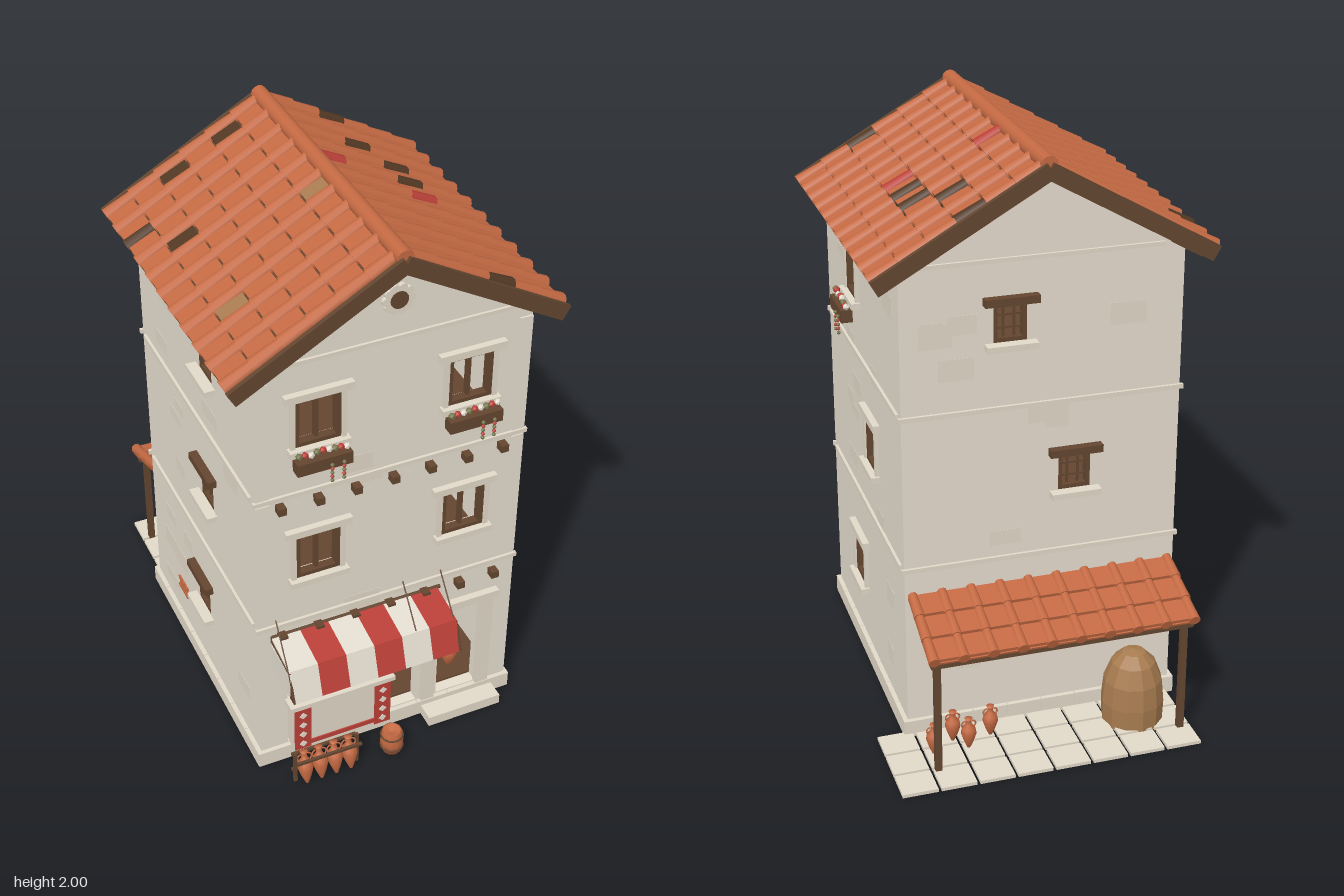
import * as THREE from 'three';

const mat = (name, color, side = THREE.FrontSide) => {
  const m = new THREE.MeshStandardMaterial({ color, side });
  m.name = name;
  return m;
};
const M = {
  plaster: mat('plaster', 0xe6ddce), stone: mat('stone', 0xe1d8c8), wood: mat('wood', 0x644630),
  clay: mat('terracotta', 0xc56a43, THREE.DoubleSide), dark: mat('dark tile', 0x523824, THREE.DoubleSide),
  red: mat('red', 0xbb4038, THREE.DoubleSide), straw: mat('straw', 0xa87c50, THREE.DoubleSide),
  cloth: mat('cloth', 0xe4ddd0), earth: mat('earth', 0x4e392a), leaf: mat('leaf', 0x76794f),
};

function add(parent, name, geo, m, x = 0, y = 0, z = 0, rx = 0, ry = 0, rz = 0) {
  const mesh = new THREE.Mesh(geo, m);
  mesh.name = name;
  mesh.position.set(x, y, z);
  mesh.rotation.set(rx, ry, rz);
  parent.add(mesh);
  return mesh;
}
const box = (p, name, m, w, h, d, x, y, z, rx = 0, ry = 0, rz = 0) =>
  add(p, name, new THREE.BoxGeometry(w, h, d), m, x, y, z, rx, ry, rz);
function group(p, name, x = 0, y = 0, z = 0, ry = 0) {
  const g = new THREE.Group();
  g.name = name;
  g.position.set(x, y, z);
  g.rotation.y = ry;
  p.add(g);
  return g;
}
// Thin bar between two points
function bar(p, name, m, a, b, r) {
  const A = new THREE.Vector3(...a), d = new THREE.Vector3(...b).sub(A);
  const mesh = add(p, name, new THREE.CylinderGeometry(r, r, d.length(), 6), m);
  mesh.position.copy(A).addScaledVector(d, 0.5);
  mesh.quaternion.setFromUnitVectors(new THREE.Vector3(0, 1, 0), d.normalize());
}
let seed = 7;
const rnd = () => (seed = (seed * 16807) % 2147483647) / 2147483647;

// Pottery from one profile, with optional handles
const jarProfile = [[0, 0], [.05, .02], [.15, .25], [.23, .5], [.2, .68], [.09, .8], [.08, .93], [.12, 1], [0, 1]]
  .map(([x, y]) => new THREE.Vector2(x, y));
function jar(p, name, h, x, y, z, fat = 1, handles = false, m = M.clay, tilt = 0) {
  const g = group(p, name, x, y, z);
  g.rotation.x = tilt;
  g.scale.set(h * fat, h, h * fat);
  add(g, 'body', new THREE.LatheGeometry(jarProfile, 10), m);
  if (handles) for (const s of [-1, 1])
    add(g, 'handle', new THREE.TorusGeometry(.11, .025, 5, 8, Math.PI), m, s * .1, .8, 0, 0, 0, -s * Math.PI / 2);
}

// Tiled slope: x runs down the slope (mirrored by s), z across; odd recolours single tiles
function tiles(p, s, len, rows, z0, pitch, ribs, r, odd = {}) {
  const step = len / rows, side = s > 0 ? 'R' : 'L';
  for (let i = 0; i < ribs; i++) for (let j = 0; j < rows; j++) {
    const x = s * (j + .5) * step, z = z0 + i * pitch;
    add(p, 'coverTile', new THREE.CylinderGeometry(r * .82, r * 1.05, step * 1.02, 10), odd[`${side}r${i}${j}`] || M.clay,
      x, .012, z, 0, 0, s * Math.PI / 2);
    if (i < ribs - 1) box(p, 'panTile', odd[`${side}p${i}${j}`] || M.clay, step * .94, .012, pitch * .9,
      x, .013, z + pitch / 2, 0, 0, s * .08);
  }
}

// Wall with rectangular holes [u, y, w, h]; local z = 0 is the outer face
function wall(face, w, top, apex, holes) {
  const s = new THREE.Shape();
  s.moveTo(-w / 2, .03); s.lineTo(w / 2, .03); s.lineTo(w / 2, top);
  if (apex) s.lineTo(0, apex);
  s.lineTo(-w / 2, top); s.closePath();
  for (const [u, y, hw, hh] of holes) {
    const a = hw / 2, b = hh / 2, q = new THREE.Path();
    q.moveTo(u - a, y - b); q.lineTo(u - a, y + b); q.lineTo(u + a, y + b); q.lineTo(u + a, y - b); q.closePath();
    s.holes.push(q);
  }
  add(face, 'wall', new THREE.ExtrudeGeometry(s, { depth: .04, bevelEnabled: false }), M.plaster, 0, 0, -.04);
  // faint plaster patches clear of the openings
  for (let n = 0; n < 16; n++) {
    const pw = .07 + rnd() * .06, ph = .04 + rnd() * .04, u = (rnd() - .5) * (w - .2), y = .14 + rnd() * 1.44;
    if (holes.some(([hu, hy, hw, hh]) => Math.abs(u - hu) < (hw + pw) / 2 + .05 && Math.abs(y - hy) < (hh + ph) / 2 + .06)) continue;
    box(face, 'plasterPatch', M.stone, pw, ph, .002, u, y, 0);
  }
  for (const y of [.63, 1.17]) box(face, 'stringCourse', M.stone, w + .02, .016, .012, 0, y, .004);
}
function stoneWindow(face, [u, y, w, h], flowers) {
  const g = group(face, 'window', u, y, 0);
  for (const s of [-1, 1]) {
    box(g, 'jamb', M.stone, .016, h, .016, s * (w / 2 + .008), 0, .006);
    box(g, 'frameSide', M.wood, .016, h, .03, s * (w / 2 - .008), 0, -.008);
    box(g, 'frameRail', M.wood, w, .014, .03, 0, s * (h / 2 - .007), -.008);
  }
  box(g, 'mullion', M.wood, .012, h, .02, 0, 0, -.015);
  box(g, 'lintel', M.stone, w + .075, .026, .026, 0, h / 2 + .013, .01);
  box(g, 'sill', M.stone, w + .05, .022, .034, 0, -h / 2 - .011, .014);
  if (!flowers) return;
  box(g, 'flowerBox', M.wood, w + .03, .044, .04, 0, -h / 2 - .046, .045);
  for (let i = 0; i < 9; i++) {
    const x = (i - 4) * .02;
    add(g, 'plant', new THREE.IcosahedronGeometry(.012, 0), [M.leaf, M.red, M.cloth][i % 3], x, -h / 2 - .018 + rnd() * .016, .045);
    if (i === 5 || i === 7) for (let k = 0; k < 5; k++)
      add(g, 'vine', new THREE.IcosahedronGeometry(.007, 0), k % 2 ? M.red : M.leaf, x, -h / 2 - .05 - k * .015, .07);
  }
}
function latticeWindow(face, [u, y, w, h]) {
  const g = group(face, 'latticeWindow', u, y, 0);
  for (const s of [-1, 1]) {
    box(g, 'frameSide', M.wood, .014, h, .03, s * (w / 2 - .007), 0, -.017);
    box(g, 'frameRail', M.wood, w, .014, .03, 0, s * (h / 2 - .007), -.017);
    box(g, 'latticeUpright', M.wood, .007, h, .01, s * w / 6, 0, -.02);
    box(g, 'latticeBar', M.wood, w, .007, .01, 0, s * h / 6, -.02);
  }
  box(g, 'lintel', M.wood, w + .07, .026, .035, 0, h / 2 + .013, .012);
  box(g, 'sill', M.stone, w + .06, .02, .04, 0, -h / 2 - .01, .016);
}

export function createModel() {
  const root = new THREE.Group();
  root.name = 'townhouse';
  const HP = Math.PI / 2;

  // Walls and windows
  const front = group(root, 'frontWall', 0, 0, .58), back = group(root, 'backWall', 0, 0, -.44, Math.PI);
  const left = group(root, 'leftWall', .47, 0, .07, HP), right = group(root, 'rightWall', -.47, 0, .07, -HP);
  const fw = [[-.26, .91, .155, .18], [.26, .91, .155, .18], [-.26, 1.445, .155, .18], [.26, 1.445, .155, .18]];
  const lw = [[-.11, 1.455, .14, .17], [.11, .91, .135, .17], [-.11, .36, .14, .165]];
  const bw = [[-.11, 1.46, .11, .13], [.11, .915, .11, .13], [-.1, .37, .11, .13]];
  const rw = [[.11, 1.46, .11, .13], [.08, .915, .11, .13], [0, .37, .11, .13]];
  wall(front, .94, 1.655, 1.925, [...fw, [-.125, .272, .49, .414], [.277, .272, .155, .414]]);
  wall(back, .94, 1.655, 1.925, bw);
  wall(left, .94, 1.65, 0, lw);
  wall(right, .94, 1.65, 0, rw);
  fw.forEach((w, i) => stoneWindow(front, w, i > 1));
  lw.forEach((w, i) => stoneWindow(left, w, i === 0));
  bw.forEach(w => latticeWindow(back, w));
  rw.forEach(w => latticeWindow(right, w));
  for (const y of [.066, .61, 1.15]) box(root, 'floor', M.wood, .86, .012, .94, 0, y, .07);
  for (const s of [-1, 1]) for (const [y, h] of [[.345, .55], [.9, .51], [1.4, .44]])
    box(front, 'cornerPilaster', M.plaster, .045, h, .006, s * .448, y, .003);
  for (const f of [front, back]) box(f, 'gableBand', M.stone, .8, .014, .01, 0, 1.67, .004);
  for (let r = 0; r < 3; r++) for (let i = 0; i < 3; i++)
    box(right, 'exposedBrick', M.clay, .026, .013, .008, -.25 + i * .03 + (r % 2) * .012, .19 + r * .018, .003);
  for (let i = -3; i <= 3; i++) for (const y of [.585, 1.135])
    box(front, 'beamEnd', M.wood, .027, .027, .035, i * .13, y, .015);
  // Rosette in the gable
  add(front, 'rosetteCentre', new THREE.CylinderGeometry(.03, .03, .016, 16), M.wood, 0, 1.81, .008, HP);
  for (let i = 0; i < 10; i++) {
    const a = i * Math.PI / 5;
    add(front, 'rosettePetal', new THREE.CylinderGeometry(.015, .015, .014, 10), M.stone, Math.cos(a) * .04, 1.81 + Math.sin(a) * .04, .006, HP);
  }

  // Plinth and underside
  box(root, 'underside', M.earth, .92, .012, 1, 0, .008, .07);
  for (const [f, w] of [[front, .97], [back, .97], [left, 1.05], [right, 1.05]]) for (let i = 0; i < 8; i++)
    box(f, 'plinthBlock', M.stone, w / 8 - .002, .06, .04, -w / 2 + (i + .5) * w / 8, .03, -.004);
  box(root, 'doorStep', M.stone, .28, .04, .07, .275, .02, .628);
  box(root, 'doorLintel', M.stone, .23, .03, .03, .3, .485, .59);
  for (const x of [.16, .375]) box(root, 'doorPost', M.stone, .05, .41, .02, x, .268, .585);

  // Main roof
  const T = .52, L = .64;
  const odd = { Lp03: M.dark, Lp01: M.dark, Rr02: M.dark, Rr22: M.dark, Rr33: M.dark, Lr25: M.dark, Lp34: M.dark,
    Rr43: M.dark, Rr103: M.dark, Rr40: M.red, Rr53: M.red, Lp50: M.straw, Lp74: M.straw };
  for (const s of [-1, 1]) {
    const g = group(root, 'roofSlope', 0, 1.956, 0);
    g.rotation.z = -s * T;
    box(g, 'roofBoards', M.wood, L, .022, 1.11, s * L / 2, -.006, .07);
    tiles(g, s, L, 6, -.46, .1045, 11, .026, odd);
    for (const z of [-.49, .63]) box(g, 'bargeboard', M.wood, L + .005, .054, .016, s * L / 2, -.002, z);
    box(g, 'eavesBoard', M.wood, .014, .024, 1.12, s * (L - .012), -.006, .07);
    for (let i = 0; i < 11; i++) box(g, 'rafterTail', M.wood, .12, .022, .022, s * (L - .075), -.026, -.44 + i * .101);
  }
  add(root, 'ridgeCap', new THREE.CylinderGeometry(.028, .028, 1.11, 12), M.clay, 0, 1.972, .07, HP);

  // Awning with striped cloth
  const aw = group(root, 'awning');
  for (let i = 0; i < 6; i++) {
    const x = -.378 + i * .101, m = i % 2 ? M.red : M.cloth;
    box(aw, 'clothTop', m, .101, .006, .156, x, .578, .66, .165);
    box(aw, 'clothFront', m, .101, .117, .006, x, .511, .754, -.33);
  }
  for (const x of [-.427, .177]) {
    box(aw, 'clothSide', M.cloth, .005, .1, .145, x, .508, .664);
    bar(aw, 'awningArm', M.wood, [x, .575, .58], [x, .56, .74], .004);
    bar(aw, 'awningRod', M.wood, [x, .56, .735], [x, .46, .776], .004);
  }
  for (const x of [-.41, .05, .19]) bar(aw, 'stay', M.wood, [x, .66, .585], [x - .02, .565, .735], .0025);
  bar(aw, 'wallRail', M.wood, [-.43, .59, .588], [.19, .59, .588], .007);

  // Shop counter and shelves
  const shop = group(root, 'stall');
  box(shop, 'counter', M.stone, .36, .2, .06, -.185, .16, .597);
  box(shop, 'counterTop', M.stone, .39, .018, .075, -.185, .266, .597);
  for (const s of [-1, 1]) {
    box(shop, 'counterPanel', M.red, .06, .19, .006, -.185 + s * .15, .16, .629);
    for (let i = 0; i < 4; i++)
      box(shop, 'diamond', M.cloth, .02, .02, .003, -.185 + s * .15, .09 + i * .045, .633, 0, 0, Math.PI / 4);
    box(shop, 'shelfPost', M.wood, .014, .16, .03, -.185 + s * .17, .35, .595);
  }
  box(shop, 'counterStripe', M.red, .34, .018, .005, -.185, .085, .629);
  for (const y of [.298, .402]) box(shop, 'shelf', M.wood, .35, .01, .05, -.185, y, .6);
  for (let i = 0; i < 5; i++) {
    jar(shop, 'upperJar', .052, -.31 + i * .063, .405, .605, 1.5, false, i % 2 ? M.red : M.clay);
    jar(shop, 'lowerJar', i % 2 ? .044 : .056, -.34 + i * .077, .275 + (i % 4 ? .028 : 0), .612, 1.6, false, i % 3 === 1 ? M.red : M.clay);
  }
  // Things seen through the shop openings
  box(root, 'innerTable', M.wood, .16, .014, .16, .06, .21, .4);
  for (const x of [-.01, .13]) box(root, 'tableLeg', M.wood, .014, .14, .014, x, .14, .4);
  jar(root, 'doorAmphora', .13, .3, .072, .48, 1.1, true);
  box(root, 'innerStand', M.wood, .05, .23, .06, .162, .187, .15);
  jar(root, 'standJar', .07, .162, .302, .15, 1.1, true);

  // Amphora rack and barrel by the stall
  const rack = group(root, 'amphoraRack', -.28, 0, .7);
  for (const x of [-.115, .115]) box(rack, 'post', M.wood, .012, .13, .012, x, .065, 0);
  for (const y of [.035, .11]) box(rack, 'rail', M.wood, .24, .01, .01, 0, y, -.02);
  box(rack, 'frontRail', M.wood, .24, .01, .01, 0, .11, .03);
  for (let i = 0; i < 4; i++) jar(rack, 'amphora', .13, -.083 + i * .055, .004, .03, .95, true, M.clay, -.25);
  const bp = [[0, 0], [.034, 0], [.042, .045], [.035, .09], [.03, .09], [0, .08]].map(([x, y]) => new THREE.Vector2(x, y));
  add(root, 'barrel', new THREE.LatheGeometry(bp, 10), M.clay, -.03, 0, .7);
  for (const y of [.02, .07]) add(root, 'barrelHoop', new THREE.TorusGeometry(.039, .004, 5, 12), M.wood, -.03, y, .7, HP);

  // Back yard: paving, lean-to, haystack and amphorae
  for (let i = 0; i < 8; i++) for (let j = 0; j < 3; j++)
    box(root, 'pavingSlab', M.stone, .12, .012, .107, -.396 + i * .1305, .006, -.73 + j * .117);
  const lean = group(root, 'leanTo', 0, .528, -.44, HP), slope = group(lean, 'leanToSlope');
  slope.rotation.z = -.36;
  box(slope, 'boards', M.clay, .28, .008, .92, .142, 0, 0);
  tiles(slope, 1, .285, 3, -.445, .0989, 10, .019);
  box(root, 'leanToBeam', M.wood, .9, .022, .022, 0, .413, -.68);
  for (const x of [-.42, .43]) box(root, 'leanToPost', M.wood, .022, .41, .022, x, .207, -.68);
  const hay = [[.105, 0], [.108, .08], [.1, .16], [.075, .225], [.04, .26], [0, .27]].map(([x, y]) => new THREE.Vector2(x, y));
  const hayGeo = new THREE.LatheGeometry(hay, 12).toNonIndexed();
  hayGeo.computeVertexNormals();
  add(root, 'haystack', hayGeo, M.straw, -.29, .004, -.565);
  add(root, 'haystackBase', new THREE.CircleGeometry(.105, 12), M.straw, -.29, -.001, -.565, HP);
  for (const [x, z] of [[.42, -.59], [.34, -.535], [.3, -.59], [.21, -.54]]) jar(root, 'yardAmphora', .115, x, .012, z, 1, true);
  return root;
}
